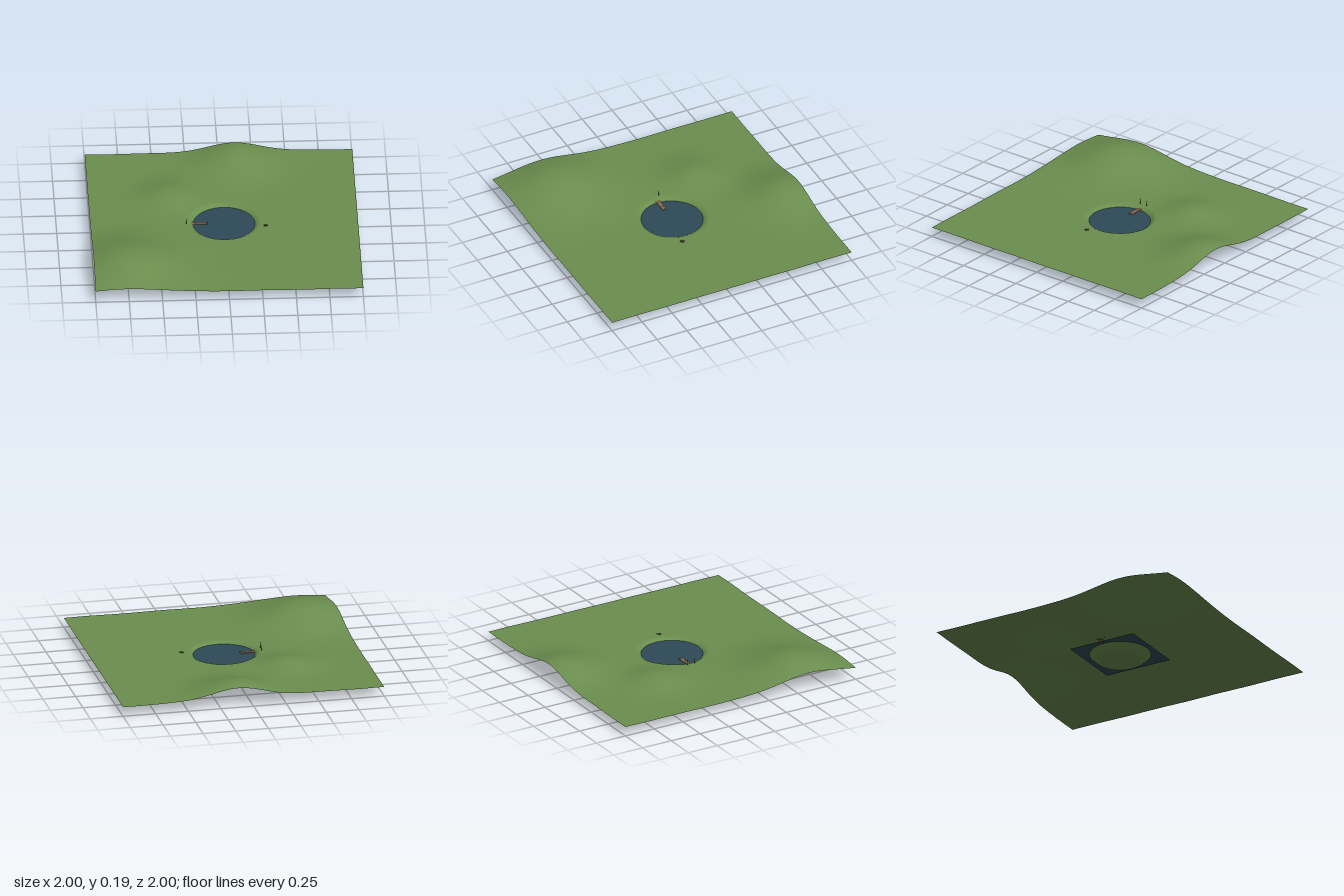
import * as THREE from 'three';

const smooth = THREE.MathUtils.smoothstep;
const GROUND = 0.078, WATER = 0.06;

// x, z, height, spread of each hill
const HILLS = [
  [-0.74, 0.61, 0.121, 0.25],
  [0.12, -0.88, 0.095, 0.195],
  [-0.39, -0.37, 0.055, 0.15],
];

// Rolling meadow with a sunken, flat-bottomed pond bowl
function heightAt(x, z) {
  const bowl = smooth(Math.hypot(x, z), 0.155, 0.27);
  let y = GROUND + 0.0015 * Math.sin(11 * x + 5 * z) * Math.cos(7 * z);
  for (const [hx, hz, h, s] of HILLS) {
    y += h * Math.exp(-((x - hx) ** 2 + (z - hz) ** 2) / (2 * s * s));
  }
  return 0.005 + (y - 0.005) * bowl;
}

function material(color, side = THREE.FrontSide) {
  return new THREE.MeshStandardMaterial({ color, side });
}

function add(parent, name, geometry, mat, x, y, z) {
  const mesh = new THREE.Mesh(geometry, mat);
  mesh.name = name;
  mesh.position.set(x, y, z);
  parent.add(mesh);
  return mesh;
}

export function createModel() {
  const model = new THREE.Group();
  model.name = 'pondLandscape';
  const wood = material(0x8b6b4f);
  const darkWood = material(0x4a3a2a);

  // Terrain
  const terrain = new THREE.PlaneGeometry(2, 2, 140, 140).rotateX(-Math.PI / 2);
  const p = terrain.attributes.position;
  for (let i = 0; i < p.count; i++) p.setY(i, heightAt(p.getX(i), p.getZ(i)));
  terrain.computeVertexNormals();
  add(model, 'terrain', terrain, material(0x6b8e4e, THREE.DoubleSide), 0, 0, 0);

  // Square water sheet, its corners hidden under the meadow
  const water = new THREE.PlaneGeometry(0.547, 0.547).rotateX(-Math.PI / 2);
  add(model, 'water', water, material(0x2d4a58, THREE.DoubleSide), 0, WATER, 0);

  // Jetty: three planks, the middle one shorter, on paired legs
  const jetty = new THREE.Group();
  jetty.name = 'jetty';
  model.add(jetty);
  for (const i of [-1, 0, 1]) {
    const length = i === 0 ? 0.165 : 0.175;
    add(jetty, 'plank', new THREE.BoxGeometry(length, 0.004, 0.0105), wood,
      -0.295 + length / 2, 0.067, i * 0.0107);
  }
  for (const x of [-0.265, -0.14]) {
    for (const z of [-0.012, 0.012]) {
      add(jetty, 'leg', new THREE.CylinderGeometry(0.002, 0.002, 0.031, 8), wood, x, 0.0505, z);
    }
  }

  // Slim posts either side of the landing
  for (const z of [-0.03, 0.03]) {
    add(model, 'post', new THREE.CylinderGeometry(0.0015, 0.0015, 0.05, 8), darkWood, -0.283, 0.1, z);
  }

  // Small pile of crossed logs on the bank
  const logs = new THREE.Group();
  logs.name = 'logPile';
  logs.position.set(0.31, heightAt(0.31, 0.07) + 0.002, 0.07);
  model.add(logs);
  for (let i = 0; i < 4; i++) {
    const log = new THREE.CylinderGeometry(0.002, 0.002, 0.034, 8).rotateZ(Math.PI / 2);
    add(logs, 'log', log, darkWood, 0, 0, 0).rotation.y = (i * Math.PI) / 4;
  }

  return model;
}
